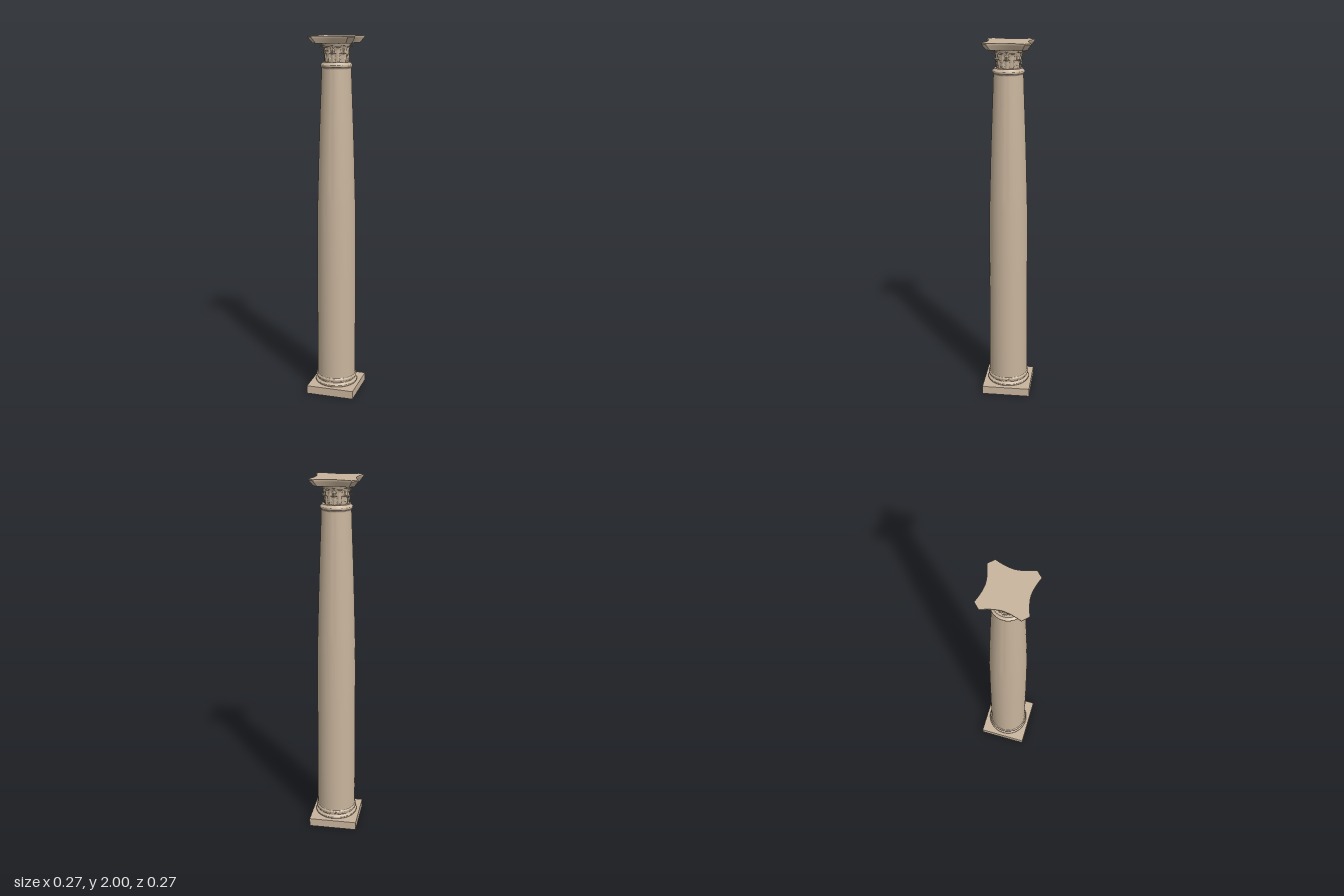
import * as THREE from 'three';
import { toCreasedNormals } from 'three/addons/utils/BufferGeometryUtils.js';

const stone = new THREE.MeshStandardMaterial({ color: 0xc8b49c });
const leafStone = new THREE.MeshStandardMaterial({ color: 0xc8b49c, side: THREE.DoubleSide });

function add(parent, name, geometry, material = stone) {
  const mesh = new THREE.Mesh(geometry, material);
  mesh.name = name;
  parent.add(mesh);
  return mesh;
}

// Turned part from [radius, height] pairs, bottom to top
function turned(profile) {
  const points = profile.map(([r, y]) => new THREE.Vector2(r, y));
  return toCreasedNormals(new THREE.LatheGeometry(points, 64), 0.7);
}

// Half-round moulding profile bulging out from radius r
function roundMoulding(r, bulge, y0, y1) {
  const profile = [];
  for (let i = 0; i <= 10; i++) {
    const a = (i / 10) * Math.PI;
    profile.push([r + bulge * Math.sin(a), y0 + (y1 - y0) * (1 - Math.cos(a)) / 2]);
  }
  return profile;
}

// Square slab with hollowed sides and cut corners, flaring upward
function abacusGeometry() {
  const outline = [];
  for (let side = 0; side < 4; side++) {
    const a = side * Math.PI / 2;
    for (let i = 0; i <= 12; i++) {
      const t = (i / 12) * 2 - 1;
      const x = 0.097 * t, z = 0.104 + 0.023 * Math.pow(Math.abs(t), 1.7);
      outline.push([x * Math.cos(a) + z * Math.sin(a), z * Math.cos(a) - x * Math.sin(a)]);
    }
  }
  const n = outline.length, position = [], index = [];
  const levels = [[0.84, 1.963], [0.98, 1.988], [1.01, 1.994], [1.01, 2]];
  for (const [s, y] of levels) for (const [x, z] of outline) position.push(x * s, y, z * s);
  for (let l = 0; l < levels.length - 1; l++) {
    for (let i = 0; i < n; i++) {
      const a = l * n + i, b = l * n + (i + 1) % n;
      index.push(a, b, b + n, a, b + n, a + n);
    }
  }
  const bottom = position.length / 3, top = bottom + 1, last = (levels.length - 1) * n;
  position.push(0, 1.963, 0, 0, 2, 0);
  for (let i = 0; i < n; i++) {
    const j = (i + 1) % n;
    index.push(bottom, j, i, top, last + i, last + j);
  }
  const g = new THREE.BufferGeometry();
  g.setAttribute('position', new THREE.Float32BufferAttribute(position, 3));
  g.setIndex(index);
  return toCreasedNormals(g, 0.5);
}

// Lobed leaf that hugs the bell, then curls out and over at its tip
function leafGeometry(y0, height, r0, curl, width) {
  const g = new THREE.PlaneGeometry(2, 1, 6, 24);
  const p = g.attributes.position;
  for (let i = 0; i < p.count; i++) {
    const u = p.getX(i), v = p.getY(i) + 0.5;
    const lobes = 0.72 + 0.28 * Math.abs(Math.sin(v * Math.PI * 3.5));
    const half = width * lobes * (0.65 + 0.6 * v) * Math.sqrt(Math.max(0, 1 - Math.pow(v, 4)));
    const bend = Math.max(0, (v - 0.55) / 0.45);
    const y = y0 + height * (v - 0.3 * bend * bend * bend);
    const relief = 0.003 * Math.cos(u * Math.PI * 1.5);
    const r = r0 + 0.008 * v + curl * bend * bend + relief;
    const angle = u * half / r;
    p.setXYZ(i, r * Math.sin(angle), y, r * Math.cos(angle));
  }
  g.computeVertexNormals();
  return g;
}

function leafRing(parent, name, count, offset, geometry) {
  for (let i = 0; i < count; i++) {
    add(parent, name, geometry, leafStone).rotation.y = (i + offset) / count * Math.PI * 2;
  }
}

export function createModel() {
  const column = new THREE.Group();
  column.name = 'column';

  // Square foot and its round mouldings
  const plinth = add(column, 'plinth', new THREE.BoxGeometry(0.27, 0.046, 0.27));
  plinth.position.y = 0.023;
  add(column, 'baseMouldings', turned([
    [0.108, 0.046], ...roundMoulding(0.112, 0.007, 0.048, 0.064),
    [0.109, 0.066], [0.107, 0.071], [0.109, 0.076],
    ...roundMoulding(0.109, 0.006, 0.078, 0.098), [0.108, 0.102],
  ]));

  // Shaft, nearly straight below and tapering above
  add(column, 'shaft', turned([
    [0.108, 0.1], [0.1075, 0.35], [0.1065, 0.7], [0.104, 1.1], [0.101, 1.2],
    [0.0965, 1.36], [0.09, 1.55], [0.084, 1.7], [0.079, 1.835],
  ]));

  // Neck ring
  add(column, 'neckRing', turned([
    [0.079, 1.828], [0.081, 1.836], ...roundMoulding(0.08, 0.006, 1.838, 1.855),
    [0.077, 1.858], [0.075, 1.864], [0.06, 1.864],
  ]));

  // Leafy capital
  const capital = new THREE.Group();
  capital.name = 'capital';
  column.add(capital);
  add(capital, 'bell', turned([
    [0.06, 1.862], [0.061, 1.9], [0.065, 1.93], [0.074, 1.952], [0.078, 1.958], [0.078, 1.966],
  ]));
  leafRing(capital, 'lowerLeaf', 8, 0, leafGeometry(1.862, 0.066, 0.064, 0.012, 0.021));
  leafRing(capital, 'upperLeaf', 8, 0.5, leafGeometry(1.866, 0.105, 0.062, 0.02, 0.019));
  leafRing(capital, 'topLeaf', 8, 0, leafGeometry(1.905, 0.062, 0.064, 0.016, 0.013));
  add(capital, 'abacus', abacusGeometry());

  return column;
}
